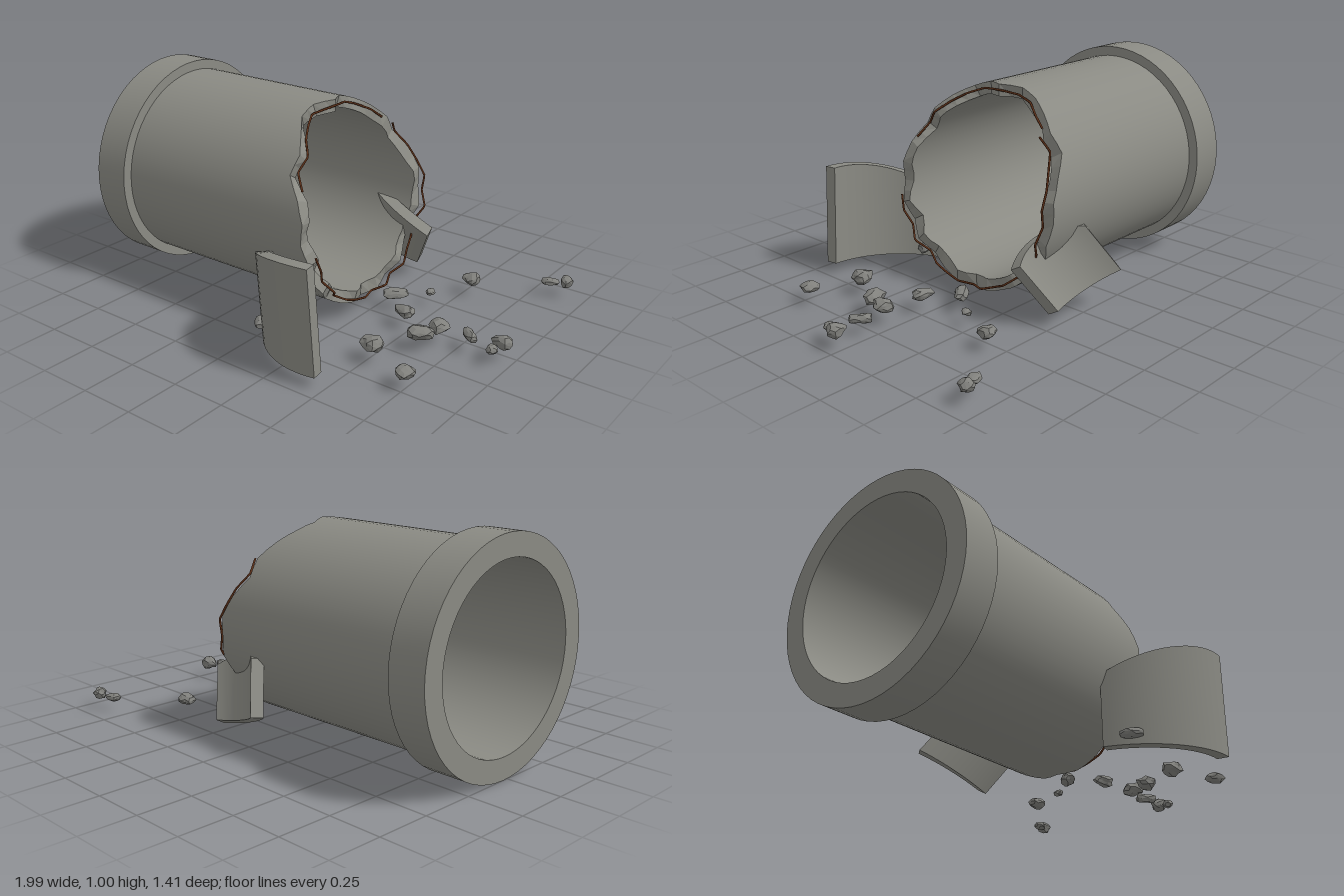
import * as THREE from 'three';
import { mergeGeometries } from 'three/addons/utils/BufferGeometryUtils.js';

const V = (x, y, z) => new THREE.Vector3(x, y, z);

// Quad strip between two equal-length point lists
function strip(a, b, flat = false) {
  let g = new THREE.BufferGeometry().setFromPoints([...a, ...b]);
  const n = a.length, idx = [];
  const closed = a.closed ? n : n - 1;
  for (let i = 0; i < closed; i++) {
    const j = (i + 1) % n;
    idx.push(i, j, n + i, j, n + j, n + i);
  }
  g.setIndex(idx);
  g = flat ? g.toNonIndexed() : g;
  g.computeVertexNormals();
  return g.index ? g.toNonIndexed() : g;
}

// Pipe cross-section: angle 0 is the top, 90 degrees is +z
const CY = 0.5, CZ = -0.025, SEG = 60;
const pipePoint = (r, phi, x) => V(x, CY + r * Math.cos(phi), CZ + r * Math.sin(phi));
function ring(r, x) {
  const pts = [];
  for (let i = 0; i < SEG; i++) {
    const phi = (i / SEG) * Math.PI * 2;
    pts.push(pipePoint(r, phi, typeof x === 'function' ? x(phi) : x));
  }
  pts.closed = true;
  return pts;
}

// Broken edge, one x value every 12 degrees
const EDGE = [0.03, -0.02, -0.01, 0.05, 0.10, 0.09, 0.16, 0.20, 0.19, 0.22,
  0.19, 0.22, 0.18, 0.20, 0.21, 0.18, 0.21, 0.19, 0.22, 0.19,
  0.17, 0.21, 0.19, 0.19, 0.14, 0.07, 0.08, 0.04, 0.0, -0.02];
function edgeX(phi) {
  const t = ((phi / (Math.PI * 2)) * 30 + 60) % 30;
  const i = Math.floor(t + 1e-6) % 30, f = Math.max(0, t - Math.floor(t + 1e-6));
  return EDGE[i] * (1 - f) + EDGE[(i + 1) % 30] * f;
}
const innerEdgeX = (phi) => edgeX(phi) + 0.012 * Math.sin(phi * 11);

// Curved wall fragment: axis = cylinder axis, out = direction of the bulge
function shard(origin, axis, out, halfAngle, bottom, top) {
  const Y = axis.clone().normalize();
  const X = Y.clone().cross(out).normalize();
  const Z = X.clone().cross(Y);
  const line = (r, h) => {
    const pts = [];
    for (let i = 0; i <= 16; i++) {
      const t = i / 8 - 1, a = t * halfAngle;
      pts.push(origin.clone().addScaledVector(X, r * Math.sin(a))
        .addScaledVector(Y, h(t)).addScaledVector(Z, r * Math.cos(a)));
    }
    return pts;
  };
  const ob = line(0.455, bottom), ot = line(0.455, top);
  const ib = line(0.4, bottom), it = line(0.4, top);
  return mergeGeometries([
    strip(ob, ot), strip(it, ib), strip(ot, it), strip(ib, ob),
    strip([ib[16], it[16]], [ob[16], ot[16]]),
    strip([ob[0], ot[0]], [ib[0], it[0]]),
  ]);
}

// Faceted stone with a seeded, position-based lump pattern
function stone(seed, sx, sy, sz) {
  const g = new THREE.IcosahedronGeometry(1, 1);
  const p = g.attributes.position, v = V(0, 0, 0);
  for (let i = 0; i < p.count; i++) {
    v.fromBufferAttribute(p, i);
    const k = 0.93 + 0.12 * Math.sin(v.x * 4 + seed * 2.1) + 0.1 * Math.sin(v.y * 5 + v.z * 4 + seed * 3.7);
    p.setXYZ(i, v.x * k * sx, v.y * k * sy, v.z * k * sz);
  }
  g.computeVertexNormals();
  return g;
}

// Bent reinforcing bar following the broken edge
function bar(fromDeg, toDeg, offset) {
  const pts = [];
  for (let d = fromDeg, i = 0; d <= toDeg; d += 10, i++) {
    const phi = (d * Math.PI) / 180;
    pts.push(pipePoint(0.43, phi, edgeX(phi) + offset + (i % 2) * 0.012));
  }
  const curve = new THREE.CatmullRomCurve3(pts, false, 'catmullrom', 0.1);
  return new THREE.TubeGeometry(curve, pts.length * 5, 0.005, 6);
}

export function createModel() {
  const group = new THREE.Group();
  const concrete = new THREE.MeshStandardMaterial({ color: 0x8a8a83 });
  concrete.name = 'concrete';
  const rubble = new THREE.MeshStandardMaterial({ color: 0x80807c });
  rubble.name = 'rubble';
  const rust = new THREE.MeshStandardMaterial({ color: 0x5a2f18 });
  rust.name = 'rust';
  const add = (name, geo, mat, parent = group) => {
    const m = new THREE.Mesh(geo, mat);
    m.name = name;
    parent.add(m);
    return m;
  };

  // Pipe wall and its fracture
  add('pipeWall', mergeGeometries([
    strip(ring(0.455, -0.825), ring(0.455, edgeX)),
    strip(ring(0.4, innerEdgeX), ring(0.4, -1)),
  ]), concrete);
  add('brokenEdge', strip(ring(0.455, edgeX), ring(0.4, innerEdgeX), true), concrete);

  // Collar at the intact end
  add('collar', mergeGeometries([
    strip(ring(0.5, -1), ring(0.5, -0.825)),
    strip(ring(0.5, -0.825), ring(0.455, -0.825)),
    strip(ring(0.4, -1), ring(0.5, -1)),
  ]), concrete);

  // Exposed bars: over the top, then round the far side and bottom
  add('upperBar', bar(-43, 67, 0.015), rust);
  add('lowerBar', bar(103, 313, 0.035), rust);

  // Upright fragment beside the pipe
  add('frontFragment', shard(V(0.41, 0.055, 0.24), V(-0.06, 1, 0.02), V(-0.545, 0, 0.839), 0.7,
    () => 0, (t) => 0.44 + 0.075 * t - 0.045 * t * t), concrete);

  // Fragment leaning through the far wall
  add('backFragment', shard(V(0.149, 0.24, -0.885), V(0.45, 0.79, 0.415), V(-0.317, -0.292, 0.901), 0.445,
    (t) => 0.0475 * t, (t) => 0.265 + 0.0475 * t + 0.05 * (1 - t * t)), concrete);

  // Scattered rubble: x, z, half-length, half-width, half-height, turn
  const stones = new THREE.Group();
  stones.name = 'rubblePieces';
  group.add(stones);
  [
    [0.905, -0.67, 0.035, 0.035, 0.03, 0.3], [0.835, -0.64, 0.04, 0.03, 0.02, 0.4],
    [0.535, -0.425, 0.045, 0.042, 0.03, 0], [0.44, -0.215, 0.026, 0.026, 0.015, 0],
    [0.335, -0.08, 0.06, 0.036, 0.028, 0.7], [0.46, 0.035, 0.058, 0.035, 0.028, -0.2],
    [0.66, 0.07, 0.052, 0.05, 0.032, 0.3], [0.8, 0.05, 0.052, 0.026, 0.026, -0.7],
    [0.945, 0.03, 0.05, 0.036, 0.033, 0], [0.93, 0.095, 0.03, 0.026, 0.022, 0.2],
    [0.625, 0.165, 0.058, 0.05, 0.032, 0.5], [0.52, 0.37, 0.056, 0.048, 0.035, 0],
    [0.745, 0.465, 0.052, 0.045, 0.026, 0.5], [0.025, 0.485, 0.038, 0.06, 0.024, 0.5],
    [0.075, 0.43, 0.035, 0.03, 0.028, 0],
  ].forEach(([x, z, l, w, h, turn], i) => {
    const m = add('stone' + (i + 1), stone(i + 1, l, h, w), rubble, stones);
    m.position.set(x, 0.048 + h, z);
    m.rotation.y = turn;
  });
  return group;
}
